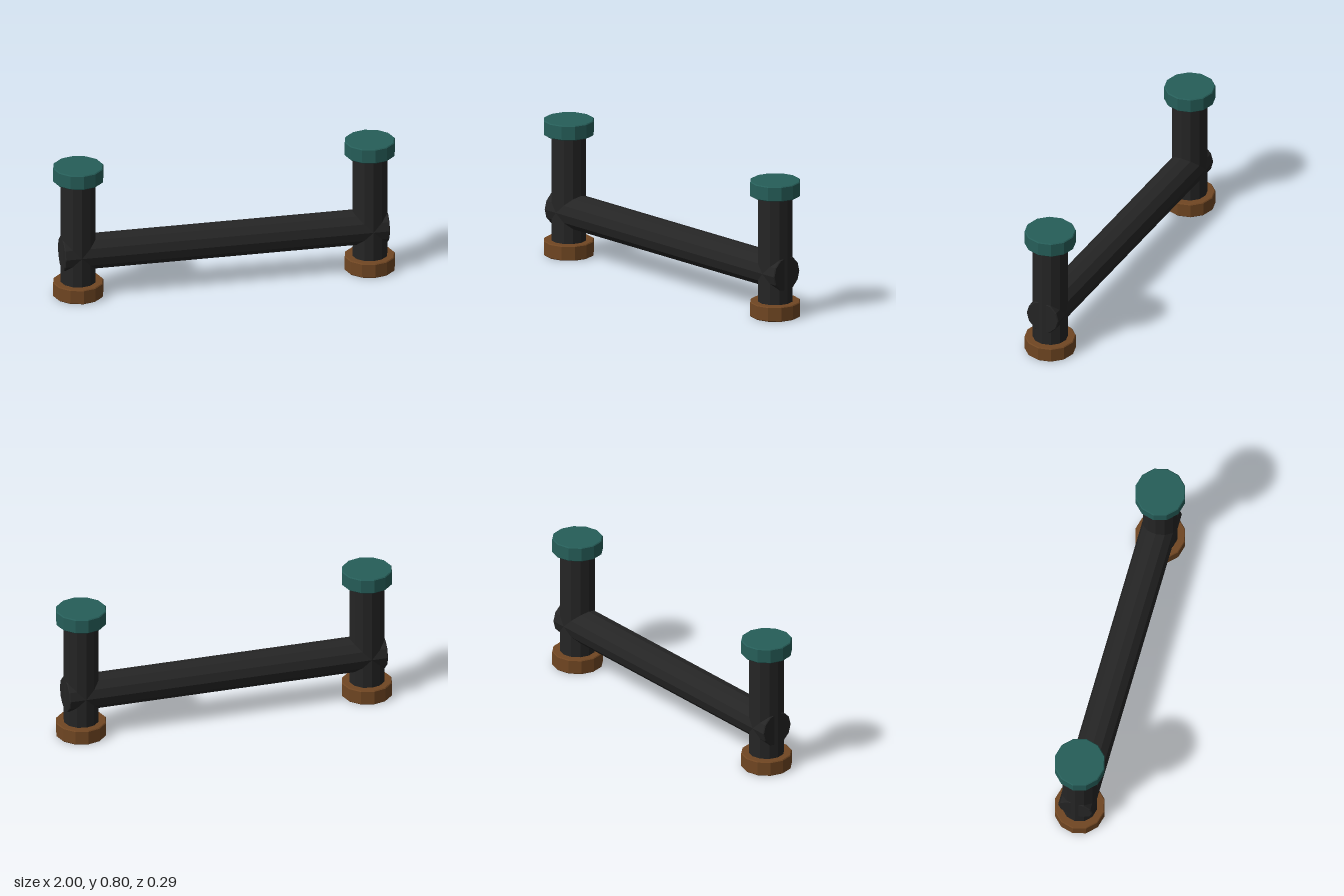
import * as THREE from 'three';

const teal = new THREE.MeshStandardMaterial({ color: 0x265e59, flatShading: true });
teal.name = 'teal';
const brown = new THREE.MeshStandardMaterial({ color: 0x704622, flatShading: true });
brown.name = 'brown';
const black = new THREE.MeshStandardMaterial({ color: 0x252525, flatShading: true });
black.name = 'black';

// Twelve-sided cylinder with small bevels on both rims, centred on the origin
function bevelledCylinder(radius, height, bevel) {
  const h = height / 2;
  const profile = [
    [0, -h], [radius - bevel, -h], [radius, -h + bevel],
    [radius, h - bevel], [radius - bevel, h], [0, h],
  ].map(([x, y]) => new THREE.Vector2(x, y));
  return new THREE.LatheGeometry(profile, 12);
}

export function createModel() {
  const model = new THREE.Group();
  model.name = 'barWithPosts';

  const add = (name, geometry, material, x, y) => {
    const mesh = new THREE.Mesh(geometry, material);
    mesh.name = name;
    mesh.position.set(x, y, 0);
    model.add(mesh);
  };

  // Horizontal bar running through both posts
  const bar = bevelledCylinder(0.1025, 1.9, 0.005).rotateZ(Math.PI / 2);
  add('crossBar', bar, black, 0, 0.265);

  // Upright post with a foot and a cap at each end
  const post = new THREE.CylinderGeometry(0.1025, 0.1025, 0.7, 12);
  const disc = bevelledCylinder(0.147, 0.088, 0.005);
  for (const [side, x] of [['left', 0.853], ['right', -0.853]]) {
    add(side + 'Post', post, black, x, 0.402);
    add(side + 'Foot', disc, brown, x, 0.044);
    add(side + 'Cap', disc, teal, x, 0.76);
  }
  return model;
}
